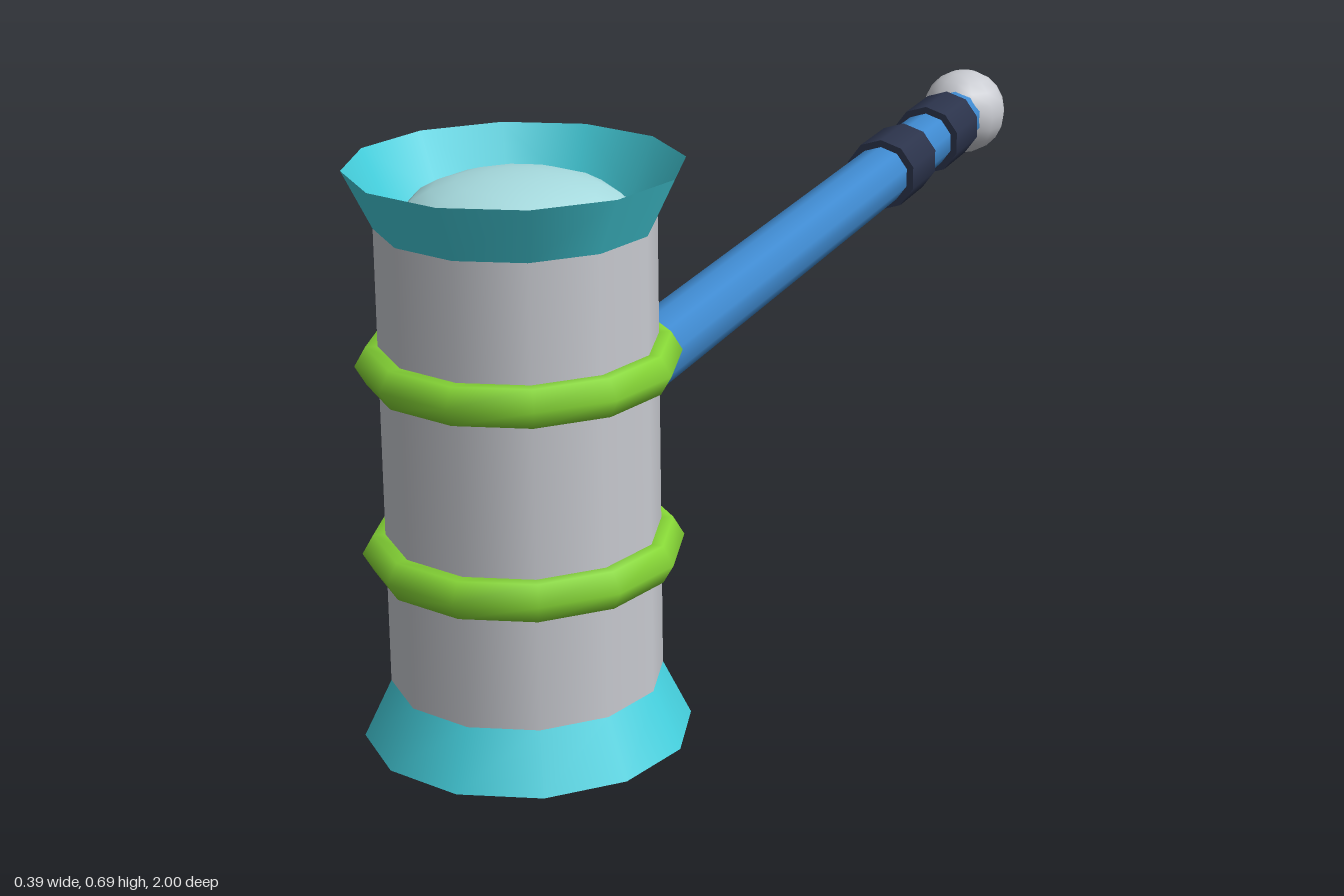
import * as THREE from 'three';

const mat = (name, color, side = THREE.FrontSide) => {
  const m = new THREE.MeshStandardMaterial({ color, side });
  m.name = name;
  return m;
};

export function createModel() {
  const model = new THREE.Group();
  model.name = 'mallet';

  const silver = mat('silver', 0xc8cad0);
  const teal = mat('teal', 0x45d0de, THREE.DoubleSide);
  const paleTeal = mat('pale teal', 0xa6dade);
  const green = mat('green', 0x86d636);
  const blue = mat('blue', 0x3f8ad0);
  const navy = mat('navy', 0x2b334b);

  const add = (parent, name, geometry, material, x = 0, y = 0, z = 0) => {
    const mesh = new THREE.Mesh(geometry, material);
    mesh.name = name;
    mesh.position.set(x, y, z);
    parent.add(mesh);
    return mesh;
  };

  const midY = 0.343;
  const R = 0.16;
  const bodyHalf = 0.275;

  // Head: upright drum, built around its own centre
  const head = new THREE.Group();
  head.name = 'head';
  head.position.set(0, midY, 0.807);
  model.add(head);
  add(head, 'drum', new THREE.CylinderGeometry(R, R, bodyHalf * 2, 12), silver);

  // The two ends mirror each other: open flare, shallow dome, ring
  for (const [side, s] of [['top', 1], ['bottom', -1]]) {
    const end = new THREE.Group();
    end.name = side + 'End';
    if (s < 0) end.rotation.x = Math.PI;
    head.add(end);

    add(end, 'flare', new THREE.CylinderGeometry(0.193, R, midY - bodyHalf, 12, 1, true),
      teal, 0, (midY + bodyHalf) / 2);

    const dome = new THREE.SphereGeometry(0.137, 12, 6, 0, Math.PI * 2, 0, Math.PI / 2);
    dome.scale(1, 0.42, 1);
    add(end, 'dome', dome, paleTeal, 0, bodyHalf);

    const ring = new THREE.TorusGeometry(0.161, 0.026, 6, 12);
    ring.rotateX(Math.PI / 2);
    add(end, 'ring', ring, green, 0, 0.114);
  }

  // Handle pieces: rods running along z between two depths
  const rod = (name, radius, zFront, zBack, material) => {
    const g = new THREE.CylinderGeometry(radius, radius, zFront - zBack, 10);
    g.rotateX(Math.PI / 2);
    add(model, name, g, material, 0, midY, (zFront + zBack) / 2);
  };
  rod('handle', 0.045, 0.66, -0.9, blue);
  rod('frontGrip', 0.056, -0.487, -0.6, navy);
  rod('rearGrip', 0.056, -0.716, -0.83, navy);

  // Ball at the end of the handle
  add(model, 'knob', new THREE.SphereGeometry(0.07, 12, 10), silver, 0, midY, -0.93);

  return model;
}
